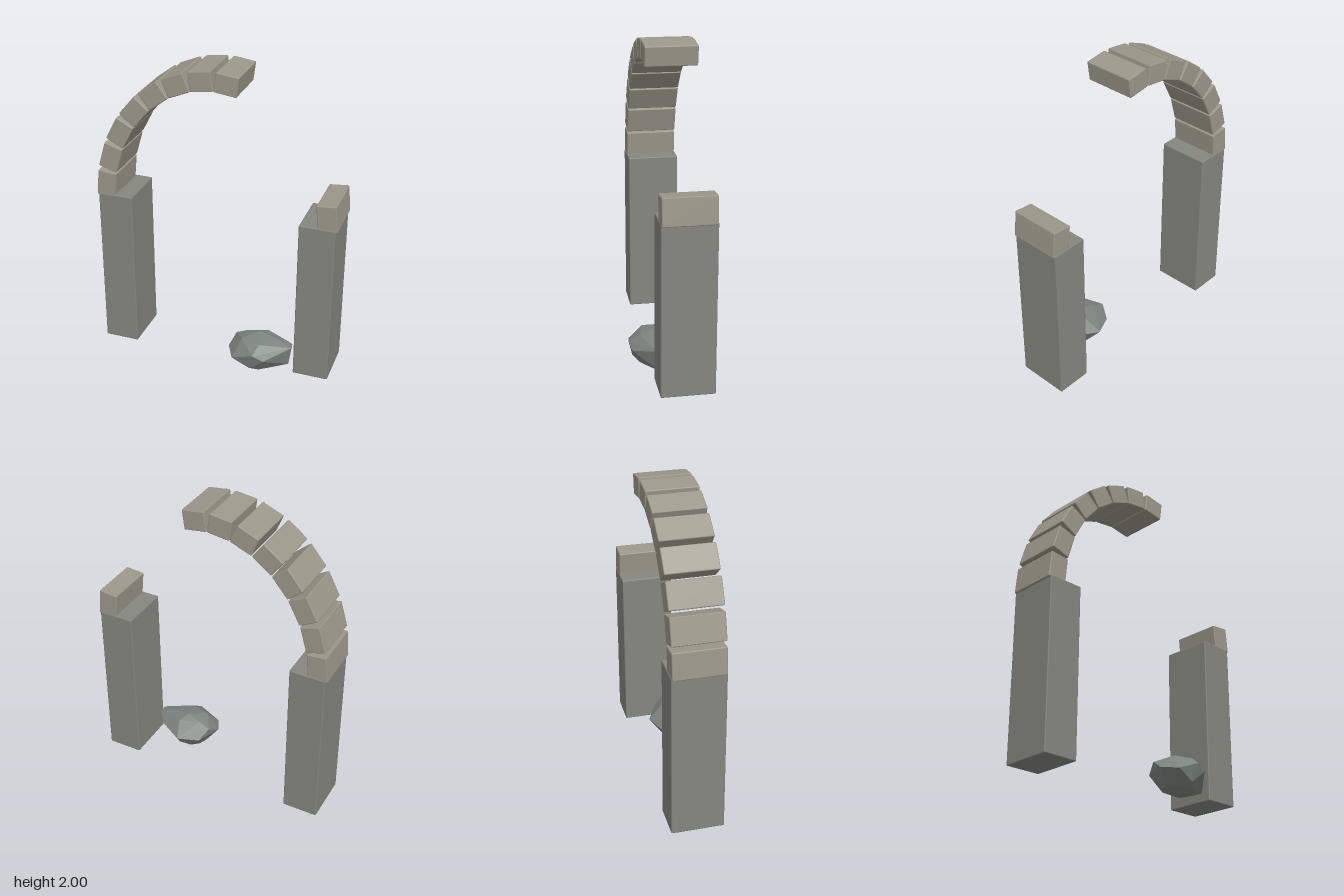
import * as THREE from 'three';
import { RoundedBoxGeometry } from 'three/addons/geometries/RoundedBoxGeometry.js';
import { ConvexGeometry } from 'three/addons/geometries/ConvexGeometry.js';

const pillarMat = new THREE.MeshStandardMaterial({ color: 0x85867e });
const stoneMat = new THREE.MeshStandardMaterial({ color: 0x9c978a });
const boulderMat = new THREE.MeshStandardMaterial({ color: 0x7b837e, flatShading: true });

function block(name, w, h, d, material) {
  const mesh = new THREE.Mesh(new RoundedBoxGeometry(w, h, d, 1, 0.007), material);
  mesh.name = name;
  return mesh;
}

// Fallen boulder: a faceted hull around a waist ring, with smaller rings above and below
function makeBoulder() {
  const waist = [
    [0.307, 0.15, -0.115], [0.454, 0.17, -0.042], [0.517, 0.2, 0.03], [0.523, 0.205, 0.084],
    [0.378, 0.15, 0.214], [0.307, 0.185, 0.228], [0.164, 0.13, 0.208], [0.11, 0.145, 0.105],
    [0.135, 0.2, 0.02], [0.175, 0.14, -0.055],
  ].map((p) => new THREE.Vector3(...p));
  const points = [...waist];
  for (const [y, scale] of [[0.234, 0.6], [0.045, 0.62]]) {
    waist.forEach((p, i) => {
      const q = p.clone().lerp(waist[(i + 1) % waist.length], 0.4);
      if (i % 2 === 0 || scale > 0.6) {
        points.push(new THREE.Vector3(0.3 + (q.x - 0.3) * scale, y, 0.07 + (q.z - 0.07) * scale));
      }
    });
  }
  points.push(
    new THREE.Vector3(0.3, 0.26, 0.04),
    new THREE.Vector3(0.3, 0, 0.075),
    new THREE.Vector3(0.505, 0.07, 0.07),
    new THREE.Vector3(0.28, 0.07, 0.2),
  );
  const mesh = new THREE.Mesh(new ConvexGeometry(points), boulderMat);
  mesh.name = 'fallenBoulder';
  return mesh;
}

export function createModel() {
  const model = new THREE.Group();
  model.name = 'ruinedArch';

  // Square pillars
  for (const side of [-1, 1]) {
    const pillar = block(side < 0 ? 'rightPillar' : 'leftPillar', 0.228, 1.075, 0.33, pillarMat);
    pillar.position.set(side * 0.657, 0.5675, -0.064);
    model.add(pillar);
  }

  // Arch stones along a half ellipse; the gap is where stones have fallen
  const arch = new THREE.Group();
  arch.name = 'archStones';
  const count = 14, a = 0.718, b = 0.859, baseY = 1.077;
  for (let i = 0; i < count; i++) {
    if (i > 7 && i < count - 1) continue;
    const t = Math.PI * (1 - (i + 0.5) / count);
    const tx = -a * Math.sin(t), ty = b * Math.cos(t);
    const length = 0.89 * Math.hypot(tx, ty) * Math.PI / count;
    const stone = block('archStone' + (i + 1), 0.125, length, 0.322, stoneMat);
    stone.position.set(a * Math.cos(t), baseY + b * Math.sin(t), -0.064);
    stone.rotation.z = Math.atan2(-tx, ty);
    arch.add(stone);
  }
  model.add(arch);

  model.add(makeBoulder());
  return model;
}
